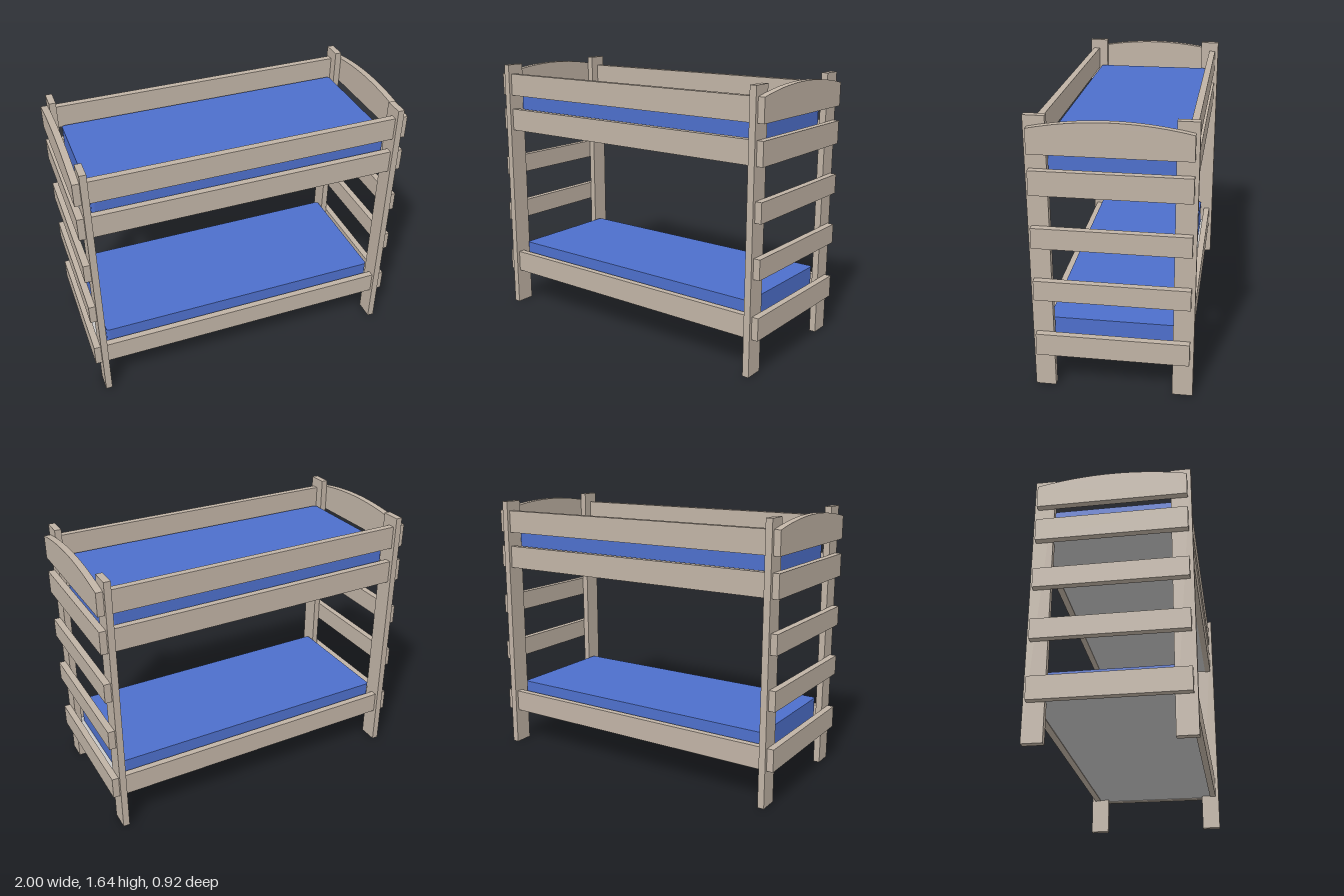
import * as THREE from 'three';

const wood = new THREE.MeshStandardMaterial({ name: 'pale wood', color: 0xc0b3a5 });
const fabric = new THREE.MeshStandardMaterial({ name: 'blue fabric', color: 0x4d6fcb });
const board = new THREE.MeshStandardMaterial({ name: 'grey board', color: 0xc8c8c8 });

export function createModel() {
  const group = new THREE.Group();

  const add = (name, geometry, material, x = 0, y = 0, z = 0) => {
    const mesh = new THREE.Mesh(geometry, material);
    mesh.name = name;
    mesh.position.set(x, y, z);
    group.add(mesh);
    return mesh;
  };
  // Box spanning y0..y1, centred on x and z
  const box = (name, material, w, y0, y1, d, x = 0, z = 0) =>
    add(name, new THREE.BoxGeometry(w, y1 - y0, d), material, x, (y0 + y1) / 2, z);

  // Corner posts
  for (const sx of [-1, 1])
    for (const sz of [-1, 1]) box('post', wood, 0.04, 0, 1.64, 0.118, sx * 0.94, sz * 0.399);

  // Long side rails between the posts
  const rails = [[0.225, 0.36], [1.21, 1.35], [1.44, 1.58]];
  for (const sz of [-1, 1])
    for (const [y0, y1] of rails) box('sideRail', wood, 1.84, y0, y1, 0.04, 0, sz * 0.417);

  // End boards, which double as ladder rungs
  const rungs = [[0.225, 0.36], [0.58, 0.7], [0.9, 1.02], [1.21, 1.35]];
  for (const sx of [-1, 1])
    for (const [y0, y1] of rungs) box('endRung', wood, 0.04, y0, y1, 0.874, sx * 0.98);

  // Arched top end boards
  const arch = new THREE.Shape();
  arch.moveTo(-0.437, 1.44);
  arch.lineTo(0.437, 1.44);
  arch.lineTo(0.437, 1.58);
  arch.quadraticCurveTo(0, 1.674, -0.437, 1.58);
  arch.closePath();
  const archGeometry = new THREE.ExtrudeGeometry(arch, { depth: 0.04, bevelEnabled: false, curveSegments: 24 });
  archGeometry.translate(0, 0, -0.02).rotateY(Math.PI / 2);
  for (const sx of [-1, 1]) add('archedEndBoard', archGeometry, wood, sx * 0.98);

  // Mattress outline with small rounded corners in plan
  const w = 0.9, d = 0.375, r = 0.02;
  const outline = new THREE.Shape();
  outline.absarc(w - r, d - r, r, 0, Math.PI / 2);
  outline.absarc(-w + r, d - r, r, Math.PI / 2, Math.PI);
  outline.absarc(-w + r, -d + r, r, Math.PI, Math.PI * 1.5);
  outline.absarc(w - r, -d + r, r, Math.PI * 1.5, Math.PI * 2);

  // Base board and mattress of each bunk
  const bunks = [['lower', 0.23, 0.42], ['upper', 1.215, 1.46]];
  for (const [level, bottom, top] of bunks) {
    const base = bottom + 0.03;
    box(level + 'BaseBoard', board, 1.92, bottom, base, 0.796);
    const mattress = new THREE.ExtrudeGeometry(outline, { depth: top - base, bevelEnabled: false, curveSegments: 6 });
    mattress.rotateX(-Math.PI / 2);
    add(level + 'Mattress', mattress, fabric, 0, base, 0);
  }

  return group;
}
